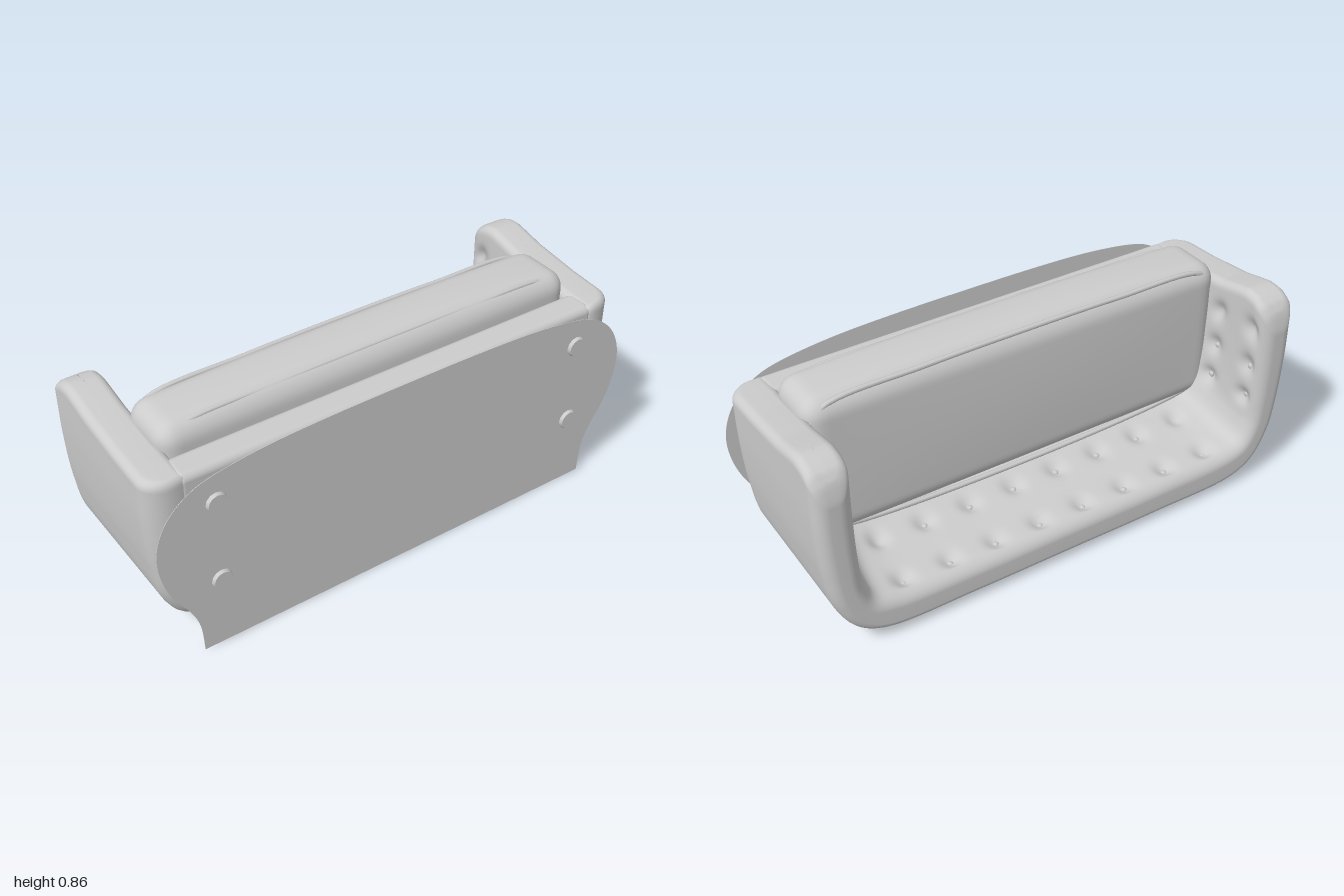
import * as THREE from 'three';
import { mergeVertices } from 'three/addons/utils/BufferGeometryUtils.js';
import { RoundedBoxGeometry } from 'three/addons/geometries/RoundedBoxGeometry.js';

const { lerp, smoothstep, clamp } = THREE.MathUtils;

// The sofa lies on its back: its underside faces +z and its seat front faces +y.
// Matching half plans, from arm tip to middle of the back
const plan = (half) => {
  const pts = half.map(([x, y]) => new THREE.Vector3(x, y, 0));
  const mirrored = half.slice(0, -1).reverse().map(([x, y]) => new THREE.Vector3(-x, y, 0));
  return new THREE.CatmullRomCurve3([...pts, ...mirrored]);
};
const outer = plan([[0.992, 0.72], [0.99, 0.55], [0.975, 0.36], [0.945, 0.21], [0.87, 0.09], [0.75, 0.04], [0.4, 0.03], [0, 0.03]]);
const innerTop = plan([[0.845, 0.72], [0.845, 0.55], [0.84, 0.38], [0.83, 0.27], [0.795, 0.2], [0.72, 0.175], [0.4, 0.165], [0, 0.165]]);
const innerLow = plan([[0.84, 0.72], [0.825, 0.55], [0.805, 0.44], [0.775, 0.36], [0.73, 0.3], [0.66, 0.28], [0.4, 0.27], [0, 0.27]]);
const Z0 = -0.37, Z1 = 0.32;
const slope = (z) => smoothstep(z, Z0, 0.15);

// Arm front edge height for each z
const edge = [[-0.37, 0.7], [-0.355, 0.75], [-0.33, 0.785], [-0.29, 0.808], [-0.24, 0.815], [-0.18, 0.803], [-0.1, 0.785], [0.1, 0.762], [0.32, 0.748]];
function frontEdge(z) {
  if (z <= edge[0][0]) return edge[0][1];
  for (let i = 1; i < edge.length; i++) {
    const [a, ya] = edge[i - 1], [b, yb] = edge[i];
    if (z <= b) return lerp(ya, yb, (z - a) / (b - a));
  }
  return edge[edge.length - 1][1];
}

// Tufting positions; arm tufts also hold the arm's inner x at the seat
const backTufts = [], armTufts = [];
for (const z of [-0.295, -0.115]) {
  for (let i = 0; i < 8; i++) backTufts.push([(i - 3.5) * 0.19, z]);
  for (const [y, x] of [[0.37, 0.78], [0.5, 0.817], [0.63, 0.833]]) armTufts.push([y, z, x]);
}
const dent = (list, a, z) => list.reduce((d, [p, q]) =>
  d + 0.024 * Math.exp(-((a - p) ** 2 + (z - q) ** 2) / 0.0011), 0);

// Wall cross-section: [u across thickness, z]
function section(back) {
  const pts = [];
  const arc = (u, z, ru, rz, from) => {
    for (let i = 0; i <= 7; i++) {
      const a = from + (i / 7) * Math.PI / 2;
      pts.push([u + ru * Math.cos(a), z + rz * Math.sin(a)]);
    }
  };
  const line = (u, za, zb, n) => {
    for (let i = 1; i < n; i++) pts.push([u, lerp(za, zb, i / n)]);
  };
  const rb = lerp(0.08, 0.14, back), rt = lerp(0.05, 0.025, back), ro = lerp(0.35, 0.2, back);
  arc(0.6, Z1 - rb, 0.6, rb, Math.PI / 2);
  line(0, Z1 - rb, Z0 + rt, 20);
  arc(ro, Z0 + rt, ro, rt, Math.PI);
  arc(0.6, Z0 + 0.06, 0.4, 0.06, Math.PI * 1.5);
  line(1, Z0 + 0.06, 0.2, 34);
  pts.push([1, 0.2], [1, Z1]);
  return pts;
}

// Arms and back: the section follows the U-shaped plan, with rounded ends
function wallGeometry() {
  const N = 320, CAP = 6, pos = [], idx = [];
  let M = 0;
  const ring = (t, cap) => {
    const o = outer.getPoint(t), a = innerTop.getPoint(t), b = innerLow.getPoint(t);
    const pts = section(smoothstep(0.75 - Math.abs(o.x), -0.22, 0));
    M = pts.length;
    const ang = Math.min(cap / (CAP - 1), 1) * Math.PI / 2;
    const s = 1 - Math.cos(ang);
    const width = cap === CAP ? 0 : 1 - 0.45 * s;
    for (const [u0, z0] of pts) {
      const u = 0.5 + (u0 - 0.5) * width;
      const z = -0.02 + (z0 + 0.02) * (1 - 0.06 * s);
      const p = o.clone().lerp(a.clone().lerp(b, slope(z)), u);
      p.y += 0.03 * Math.sin(ang);
      if (u0 > 0.98 && !cap) {
        if (p.y < 0.32 && Math.abs(p.x) < 0.76) p.y -= dent(backTufts, p.x, z);
        else p.x += Math.sign(p.x) * dent(armTufts, p.y, z);
      }
      p.y += (frontEdge(z) - 0.75) * smoothstep(p.y, 0.4, 0.75);
      pos.push(p.x, p.y, z);
    }
  };
  for (let c = CAP; c > 0; c--) ring(0, c);
  for (let i = 0; i <= N; i++) ring(i / N, 0);
  for (let c = 1; c <= CAP; c++) ring(1, c);
  const rings = N + 1 + 2 * CAP;
  for (let i = 0; i < rings - 1; i++) for (let j = 0; j < M; j++) {
    const k = (j + 1) % M, a = i * M + j, b = a + M, c = i * M + k, d = c + M;
    idx.push(a, b, c, c, b, d);
  }
  const g = new THREE.BufferGeometry();
  g.setAttribute('position', new THREE.Float32BufferAttribute(pos, 3));
  g.setIndex(idx);
  const welded = mergeVertices(g, 1e-5);
  welded.computeVertexNormals();
  return welded;
}

// Seat cushion: a rounded block with crowned faces
function cushionGeometry() {
  const h = new THREE.Vector3(0.868, 0.29, 0.13), r = 0.07;
  let g = new THREE.BoxGeometry(h.x * 2, h.y * 2, h.z * 2, 80, 36, 20);
  g.deleteAttribute('normal');
  g.deleteAttribute('uv');
  g = mergeVertices(g, 1e-5);
  const p = g.attributes.position, v = new THREE.Vector3(), core = new THREE.Vector3();
  for (let i = 0; i < p.count; i++) {
    v.fromBufferAttribute(p, i);
    core.set(clamp(v.x, r - h.x, h.x - r), clamp(v.y, r - h.y, h.y - r), clamp(v.z, r - h.z, h.z - r));
    v.sub(core).setLength(r).add(core);
    const X = v.x / h.x, Y = v.y / h.y, Z = v.z / h.z;
    if (Y > 0) v.y += 0.025 * (1 - Math.abs(X) ** 3) * (1 - 0.7 * Z * Z) * Y;
    v.z += 0.012 * Z * (1 - X * X) * (1 - Y * Y);
    p.setXYZ(i, v.x, v.y, v.z);
  }
  g.computeVertexNormals();
  return g;
}

// Piping loop around the cushion edge
function pipingGeometry(z) {
  const pts = [[-0.82, -0.21], [-0.79, -0.25], [0.79, -0.25], [0.82, -0.21], [0.85, 0], [0.845, 0.2],
    [0.79, 0.266], [0.4, 0.287], [0, 0.291], [-0.4, 0.287], [-0.79, 0.266], [-0.845, 0.2], [-0.85, 0]];
  const curve = new THREE.CatmullRomCurve3(pts.map(([x, y]) => new THREE.Vector3(x, y, z)), true);
  return new THREE.TubeGeometry(curve, 120, 0.01, 8, true);
}

export function createModel() {
  const group = new THREE.Group();
  const fabric = new THREE.MeshStandardMaterial({ color: 0xcccccc });
  fabric.name = 'light grey';
  fabric.side = THREE.DoubleSide;
  const add = (name, geo, x = 0, y = 0, z = 0) => {
    const m = new THREE.Mesh(geo, fabric);
    m.name = name;
    m.position.set(x, y, z);
    group.add(m);
    return m;
  };

  add('armsAndBack', wallGeometry());
  add('seatBase', new RoundedBoxGeometry(1.76, 0.52, 0.123, 5, 0.03), 0, 0.49, 0.2605);

  add('seatCushion', cushionGeometry(), 0, 0.54, 0.065);
  for (const z of [-0.108, 0.09]) add('cushionPiping', pipingGeometry(z), 0, 0.54, 0.065);

  // Tufting buttons
  const button = new THREE.SphereGeometry(0.012, 12, 8);
  for (const [x, z] of backTufts) add('backButton', button, x, lerp(0.165, 0.27, slope(z)) - 0.023, z).scale.y = 0.6;
  for (const [y, z, x] of armTufts) for (const s of [-1, 1]) {
    add('armButton', button, s * (lerp(0.843, x, slope(z)) + 0.023), y, z).scale.x = 0.6;
  }

  // Feet with a narrow neck and a flared pad
  const neck = new THREE.CylinderGeometry(0.037, 0.034, 0.06, 12).rotateX(Math.PI / 2);
  const flare = new THREE.CylinderGeometry(0.043, 0.038, 0.012, 12).rotateX(Math.PI / 2);
  const pad = new THREE.CylinderGeometry(0.036, 0.043, 0.02, 12).rotateX(Math.PI / 2);
  for (const x of [-0.77, 0.77]) for (const y of [0.293, 0.632]) {
    add('footNeck', neck, x, y, 0.315);
    add('footFlare', flare, x, y, 0.349);
    add('footPad', pad, x, y, 0.365);
  }

  // Thin floor sheet under the feet
  const side = [[0.865, 0.12], [0.9, 0.21], [0.95, 0.29], [0.985, 0.38], [1, 0.48], [0.985, 0.57],
    [0.94, 0.65], [0.86, 0.715], [0.75, 0.75], [0.55, 0.775], [0.3, 0.785], [0, 0.787]];
  const sheet = new THREE.Shape();
  sheet.moveTo(-0.855, 0);
  sheet.lineTo(0.855, 0);
  sheet.splineThru([...side, ...side.slice(0, -1).reverse().map(([x, y]) => [-x, y]), [-0.855, 0]]
    .map(([x, y]) => new THREE.Vector2(x, y)));
  add('floorSheet', new THREE.ExtrudeGeometry(sheet, { depth: 0.002, bevelEnabled: false, curveSegments: 6 }), 0, 0, 0.36);

  return group;
}
